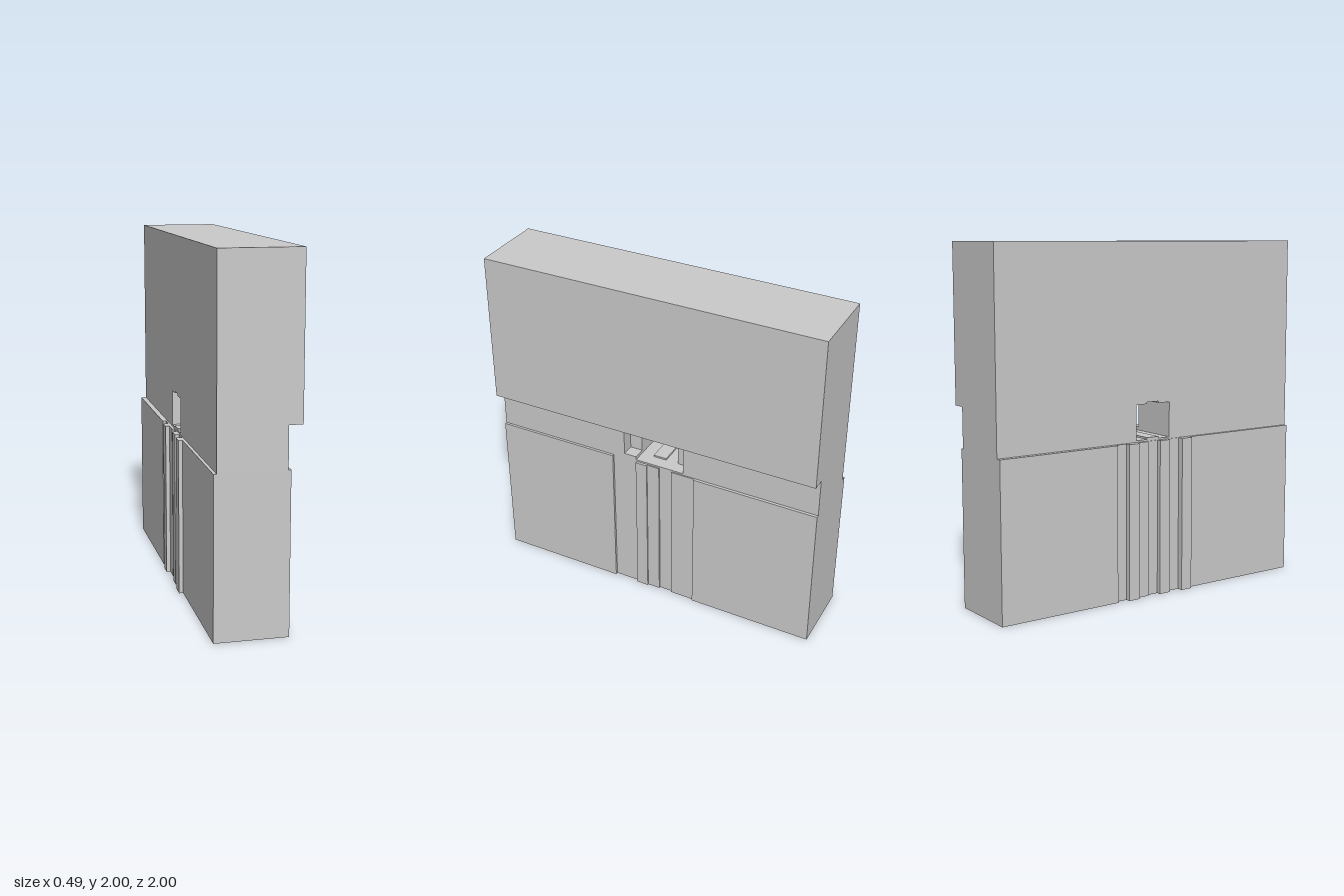
import * as THREE from 'three';

const material = new THREE.MeshStandardMaterial({ color: 0xcccccc, flatShading: true });

function shapeOf(points) {
  return new THREE.Shape(points.map(([a, b]) => new THREE.Vector2(a, b)));
}

function part(name, geometry) {
  const mesh = new THREE.Mesh(geometry, material);
  mesh.name = name;
  return mesh;
}

// Extrudes an elevation drawn in (-z, y) from x0 to x1
function slab(shape, x0, x1) {
  const g = new THREE.ExtrudeGeometry(shape, { depth: x1 - x0, bevelEnabled: false });
  return g.rotateY(Math.PI / 2).translate(x0, 0, 0);
}

// Turns [x, zFrom, zTo] strips into the two corners of each step
function steps(strips) {
  return strips.flatMap(([x, z0, z1]) => [[x, -z0], [x, -z1]]);
}

export function createModel() {
  const group = new THREE.Group();

  // Thick overhanging upper wall
  const upper = new THREE.BoxGeometry(0.445, 0.88, 2).translate(0.0175, 1.56, 0);
  group.add(part('upperWall', upper));

  // Lower wall with shallow vertical ribs on both faces
  const ribsRight = [
    [0.18, 1, 0.26], [0.165, 0.26, 0.11], [0.18, 0.11, 0.04], [0.172, 0.04, -0.035],
    [0.162, -0.035, -0.115], [0.172, -0.115, -0.26], [0.182, -0.26, -1],
  ];
  const ribsLeft = [
    [-0.235, -1, -0.26], [-0.215, -0.26, -0.19], [-0.245, -0.19, -0.12],
    [-0.222, -0.12, -0.04], [-0.21, -0.04, 0.03], [-0.235, 0.03, 0.1],
    [-0.21, 0.1, 0.18], [-0.245, 0.18, 0.25], [-0.222, 0.25, 1],
  ];
  const plan = shapeOf([...steps(ribsRight), ...steps(ribsLeft)]);
  const lower = new THREE.ExtrudeGeometry(plan, { depth: 0.89, bevelEnabled: false });
  group.add(part('lowerRibbedWall', lower.rotateX(-Math.PI / 2)));

  // Middle band pierced by a notched opening
  const band = shapeOf([[-1, 0.89], [1, 0.89], [1, 1.12], [-1, 1.12]]);
  band.holes.push(shapeOf([
    [-0.115, 0.9], [-0.115, 1.1], [-0.04, 1.1], [-0.04, 1.11], [0.04, 1.11], [0.04, 1.1],
    [0.115, 1.1], [0.115, 0.9], [0.04, 0.9], [0.04, 0.91], [-0.04, 0.91], [-0.04, 0.9],
  ]));
  group.add(part('middleBand', slab(band, -0.205, 0.09)));

  // Outer layer of the band with a wider recess around the opening
  const surround = shapeOf([
    [-1, 0.89], [1, 0.89], [1, 1.12], [0.185, 1.12], [0.185, 0.9],
    [-0.115, 0.9], [-0.115, 0.92], [-0.19, 0.92], [-0.19, 1.12], [-1, 1.12],
  ]);
  group.add(part('recessSurround', slab(surround, 0.09, 0.165)));

  return group;
}
